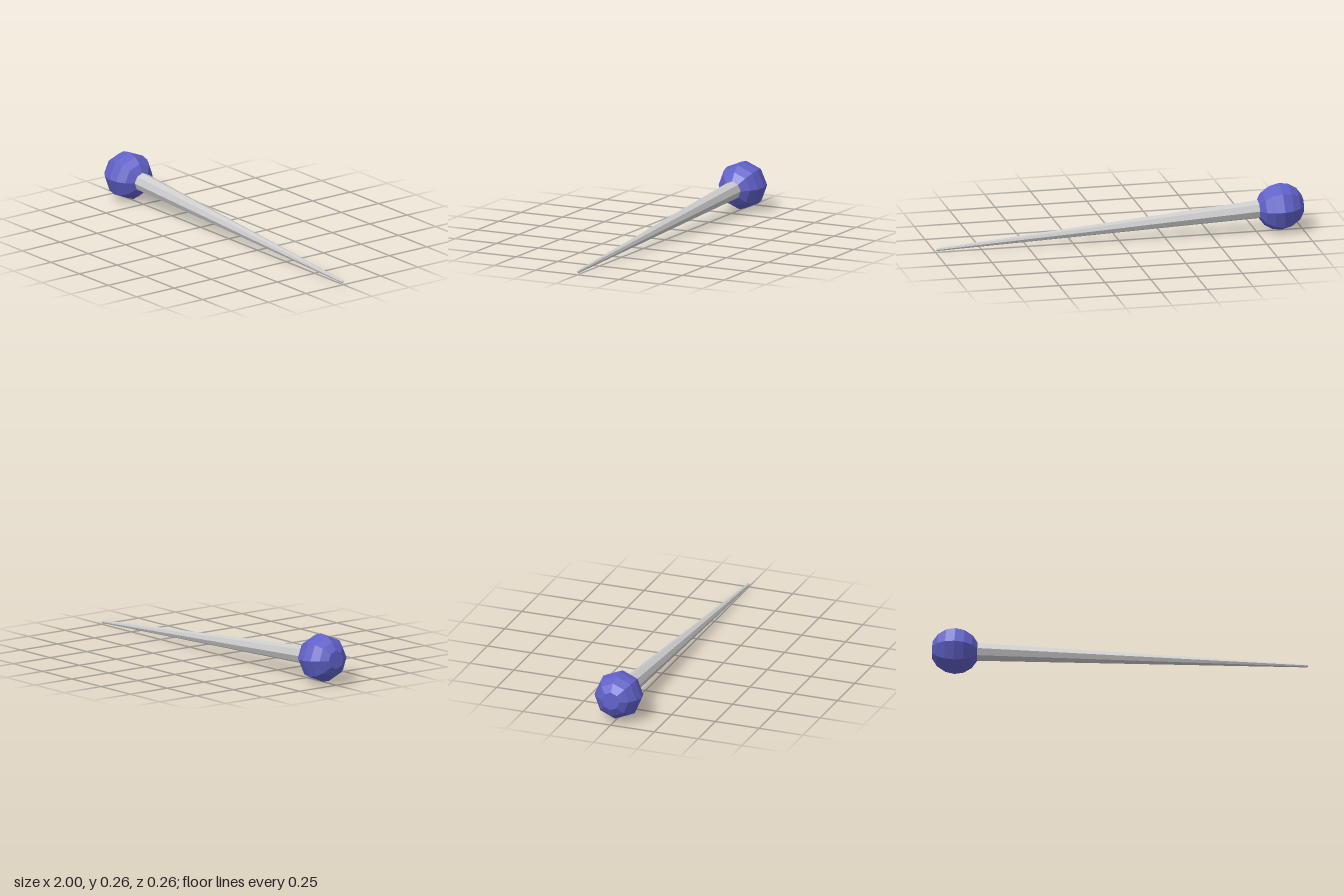
import * as THREE from 'three';

const SIDES = 8;
const HEAD_RADIUS = 0.13;

// Faceted solid of revolution from [radius, distance along axis] pairs
function turned(name, profile, color) {
  const points = profile.map(([r, y]) => new THREE.Vector2(r, y));
  const geometry = new THREE.LatheGeometry(points, SIDES);
  const material = new THREE.MeshStandardMaterial({ color, flatShading: true });
  const mesh = new THREE.Mesh(geometry, material);
  mesh.name = name;
  return mesh;
}

export function createModel() {
  const pin = new THREE.Group();
  pin.name = 'pin';

  // Ball head: rings every 22.5 degrees, with a flat cap at each end
  const headProfile = [];
  for (let i = 1; i <= 7; i++) {
    const a = (i * Math.PI) / 8;
    headProfile.push([HEAD_RADIUS * Math.sin(a), -HEAD_RADIUS * Math.cos(a)]);
  }
  headProfile.unshift([0, headProfile[0][1]]);
  headProfile.push([0, headProfile[7][1]]);
  pin.add(turned('head', headProfile, 0x6060c8));

  // Long tapering shaft ending in a tiny blunted tip
  const shaftProfile = [[0.05, 0.12], [0.008, 1.874], [0.005, 1.881], [0, 1.881]];
  pin.add(turned('shaft', shaftProfile, 0xcccccc));

  // Lay the pin along +x, resting on its head and tilted down to the tip
  pin.rotation.z = -Math.PI / 2 - THREE.MathUtils.degToRad(3.5);
  pin.position.set(-0.88, 0.13, 0);

  const model = new THREE.Group();
  model.add(pin);
  return model;
}
